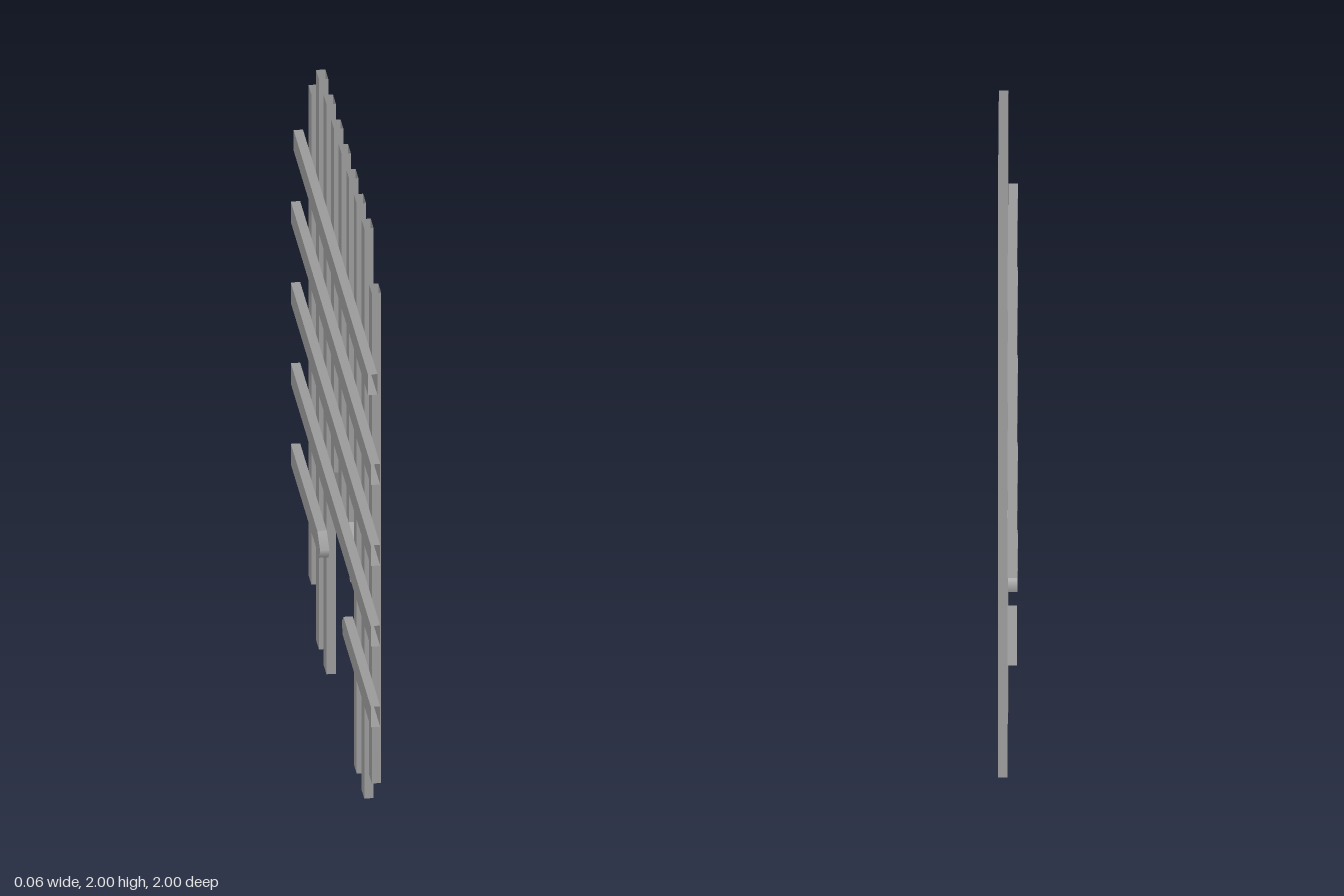
import * as THREE from 'three';

const D = 0.03;   // bar thickness
const H = 0.036;  // half the bar width

const material = new THREE.MeshStandardMaterial({ color: 0x9b9b9b, side: THREE.DoubleSide });

// Hollow bar from a counterclockwise outline [-z, y]; the edge closing the
// outline, and any edge listed in open, is left without a wall. The walls
// meeting at the corner numbered soft are shaded smoothly into each other.
function bar(name, outline, x, { open = [], soft = -1 } = {}) {
  const pts = outline.map(([u, v]) => new THREE.Vector2(u, v));
  const pos = [], nor = [];
  const add = (p, w, n) => {
    pos.push(p.x, p.y, w);
    nor.push(n.x, n.y, n.z);
  };

  // broad faces
  const front = new THREE.Vector3(0, 0, 1), back = new THREE.Vector3(0, 0, -1);
  for (const [a, b, c] of THREE.ShapeUtils.triangulateShape(pts, [])) {
    [a, b, c].forEach((i) => add(pts[i], x + D, front));
    [c, b, a].forEach((i) => add(pts[i], x, back));
  }

  // narrow walls and broken tips
  const wallNormal = (i) => {
    const p = pts[i], q = pts[i + 1];
    return new THREE.Vector3(q.y - p.y, p.x - q.x, 0).normalize();
  };
  const cornerNormal = (corner, wall) => (corner === soft
    ? wallNormal(corner - 1).add(wallNormal(corner)).normalize()
    : wallNormal(wall));
  for (let i = 0; i < pts.length - 1; i++) {
    if (open.includes(i)) continue;
    const p = pts[i], q = pts[i + 1];
    const np = cornerNormal(i, i), nq = cornerNormal(i + 1, i);
    add(p, x, np); add(q, x, nq); add(q, x + D, nq);
    add(p, x, np); add(q, x + D, nq); add(p, x + D, np);
  }

  const geometry = new THREE.BufferGeometry();
  geometry.setAttribute('position', new THREE.Float32BufferAttribute(pos, 3));
  geometry.setAttribute('normal', new THREE.Float32BufferAttribute(nor, 3));
  geometry.rotateY(Math.PI / 2);
  const mesh = new THREE.Mesh(geometry, material);
  mesh.name = name;
  return mesh;
}

export function createModel() {
  const gate = new THREE.Group();
  gate.name = 'brokenGrate';

  // whole upright bars, the outermost pair shorter
  for (const side of [-1, 1]) {
    for (const [c, inset] of [[0.378, 0], [0.567, 0], [0.756, 0.14]]) {
      const u = side * c, lo = inset, hi = 2 - inset;
      gate.add(bar('uprightBar',
        [[u - H, hi], [u - H, lo], [u + H, lo], [u + H, hi]], 0, { open: [1] }));
    }
  }

  // snapped upright bars above the hole
  gate.add(bar('bentBarLeft', [[-0.224, 2], [-0.224, 0.795], [-0.262, 0.703],
    [-0.243, 0.594], [-0.153, 0.795], [-0.153, 2]], 0));
  gate.add(bar('snappedBarMiddle',
    [[-H, 2], [-H, 0.708], [H, 0.694], [H, 2]], 0));
  gate.add(bar('bentBarRight', [[0.153, 2], [0.153, 0.795], [0.207, 0.639],
    [0.278, 0.617], [0.224, 0.795], [0.224, 2]], 0));

  // whole cross rails, the top one shorter
  for (const [y, half] of [[0.754, 1], [1.037, 1], [1.321, 1], [1.604, 0.93]]) {
    gate.add(bar('crossRail',
      [[-half, y - H], [half, y - H], [half, y + H], [-half, y + H]], -D, { open: [1] }));
  }

  // snapped bottom rail
  gate.add(bar('snappedRailLeft', [[-1, 0.435], [-0.291, 0.435], [-0.28, 0.476],
    [-0.316, 0.507], [-1, 0.507]], -D, { soft: 2 }));
  gate.add(bar('snappedRailRight', [[1, 0.507], [0.337, 0.507], [0.267, 0.471],
    [0.289, 0.435], [1, 0.435]], -D, { soft: 2 }));

  return gate;
}
